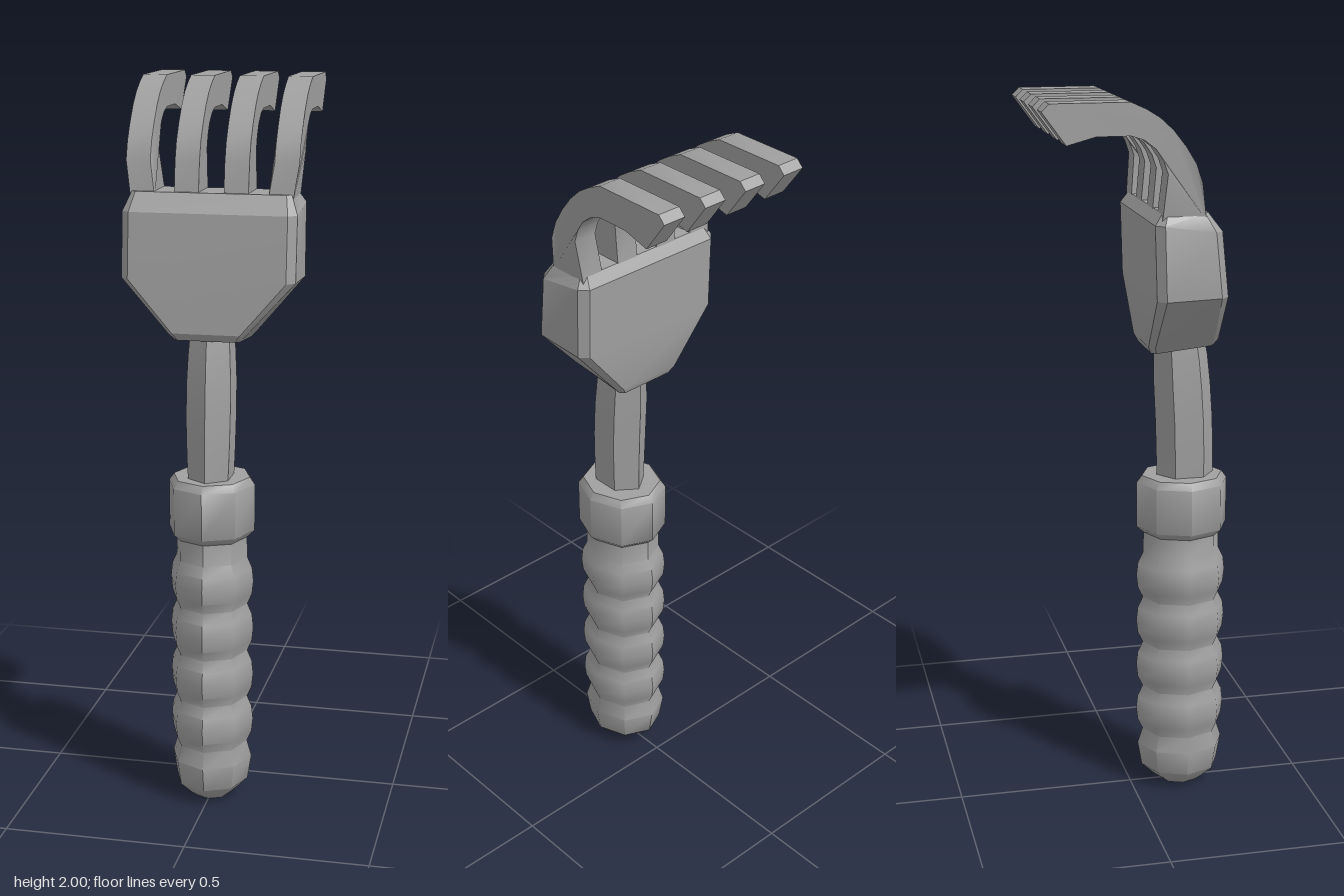
import * as THREE from 'three';
import { toCreasedNormals } from 'three/addons/utils/BufferGeometryUtils.js';

// Closed solid through equal-length rings of [x, y, z], listed from bottom to top
function loft(rings, crease) {
  const n = rings[0].length;
  const pos = [];
  const tri = (a, b, c) => pos.push(...a, ...b, ...c);
  for (let i = 0; i < rings.length - 1; i++) {
    for (let j = 0; j < n; j++) {
      const k = (j + 1) % n;
      const a = rings[i][j], b = rings[i][k], c = rings[i + 1][k], d = rings[i + 1][j];
      tri(a, b, c);
      tri(a, c, d);
    }
  }
  const low = rings[0], high = rings[rings.length - 1];
  for (let j = 1; j < n - 1; j++) {
    tri(low[0], low[j + 1], low[j]);
    tri(high[0], high[j], high[j + 1]);
  }
  const geo = new THREE.BufferGeometry();
  geo.setAttribute('position', new THREE.Float32BufferAttribute(pos, 3));
  return toCreasedNormals(geo, crease);
}

// Polygonal ring with a corner facing the front
function ring(sides, y, rx, rz, cz) {
  return Array.from({ length: sides }, (_, i) => {
    const a = (i / sides) * Math.PI * 2;
    return [rx * Math.sin(a), y, cz + rz * Math.cos(a)];
  });
}

export function createModel() {
  const group = new THREE.Group();
  const grey = new THREE.MeshStandardMaterial({ color: 0xa0a0a0 });
  grey.name = 'grey';
  const add = (name, geo) => {
    const mesh = new THREE.Mesh(geo, grey);
    mesh.name = name;
    group.add(mesh);
    return mesh;
  };

  // Grip: rounded butt, then four finger bulges and a short neck
  const grip = [[0, 0.05], [0.015, 0.068], [0.05, 0.102], [0.12, 0.113], [0.165, 0.1]];
  const necks = [0.165, 0.3, 0.437, 0.575, 0.71];
  for (let i = 0; i < 4; i++) {
    const y = necks[i], h = necks[i + 1] - y;
    grip.push([y + h * 0.22, 0.113], [y + h * 0.5, 0.117], [y + h * 0.78, 0.113], [y + h, 0.1]);
  }
  grip.push([0.79, 0.098]);
  add('grip', loft(grip.map(([y, r]) => ring(8, y, r, r * 1.11, 0.148)), 0.85));

  // Collar
  const collar = [[0.77, 0.1], [0.79, 0.12], [0.92, 0.12], [0.94, 0.106]];
  add('collar', loft(collar.map(([y, r]) => ring(8, y, r, r * 1.09, 0.149)), 0.8));

  // Six-sided shaft, leaning back slightly
  const shaft = [
    [0.9, 0.062, 0.081, 0.158], [1.0, 0.067, 0.082, 0.157], [1.1, 0.07, 0.082, 0.154],
    [1.2, 0.07, 0.081, 0.148], [1.28, 0.066, 0.077, 0.143], [1.36, 0.06, 0.07, 0.135],
  ];
  add('shaft', loft(shaft.map(([y, rx, rz, cz]) => ring(6, y, rx, rz, cz)), 0.6));

  // Palm: half width, front z and y, back z and y, corner bevel
  const palm = [
    [0.09, 0.215, 1.325, 0.04, 1.31, 0.012],
    [0.108, 0.226, 1.345, 0.03, 1.33, 0.016],
    [0.235, 0.218, 1.485, 0.025, 1.48, 0.022],
    [0.235, 0.2, 1.66, 0.019, 1.68, 0.022],
    [0.215, 0.163, 1.71, 0.04, 1.71, 0.012],
  ];
  add('palm', loft(palm.map(([w, zf, yf, zb, yb, b]) => [
    [-w + b, yf, zf], [w - b, yf, zf], [w, yf, zf - b], [w, yb, zb + b],
    [w - b, yb, zb], [-w + b, yb, zb], [-w, yb, zb + b], [-w, yf, zf - b],
  ]), 0.5));

  // Hooked tines: side profile as [z, y]
  const profile = [
    [0.037, 1.69], [0.155, 1.69], [0.14, 1.79], [0.123, 1.84], [0.095, 1.885], [0.062, 1.927],
    [0.026, 1.96], [-0.01, 1.982], [-0.05, 2], [-0.26, 2], [-0.28, 1.98], [-0.217, 1.894],
    [-0.14, 1.915], [-0.05, 1.915], [-0.015, 1.904], [0.016, 1.88], [0.036, 1.85], [0.048, 1.815],
  ];
  const shape = new THREE.Shape(profile.map(([z, y]) => new THREE.Vector2(z, y)));
  const names = ['rightOuterTine', 'rightInnerTine', 'leftInnerTine', 'leftOuterTine'];
  [-0.2, -0.067, 0.067, 0.2].forEach((cx, i) => {
    const geo = new THREE.ExtrudeGeometry(shape, { depth: 0.066, bevelEnabled: false });
    geo.translate(0, 0, -0.033);
    geo.rotateY(-Math.PI / 2);
    geo.translate(cx, 0, 0);
    // Outer tines pinch inward at the root
    const p = geo.attributes.position;
    for (let v = 0; v < p.count; v++) {
      if (p.getY(v) < 1.75 && Math.abs(cx) > 0.1) p.setX(v, p.getX(v) - Math.sign(cx) * 0.015);
    }
    add(names[i], toCreasedNormals(geo, 0.5));
  });

  return group;
}
